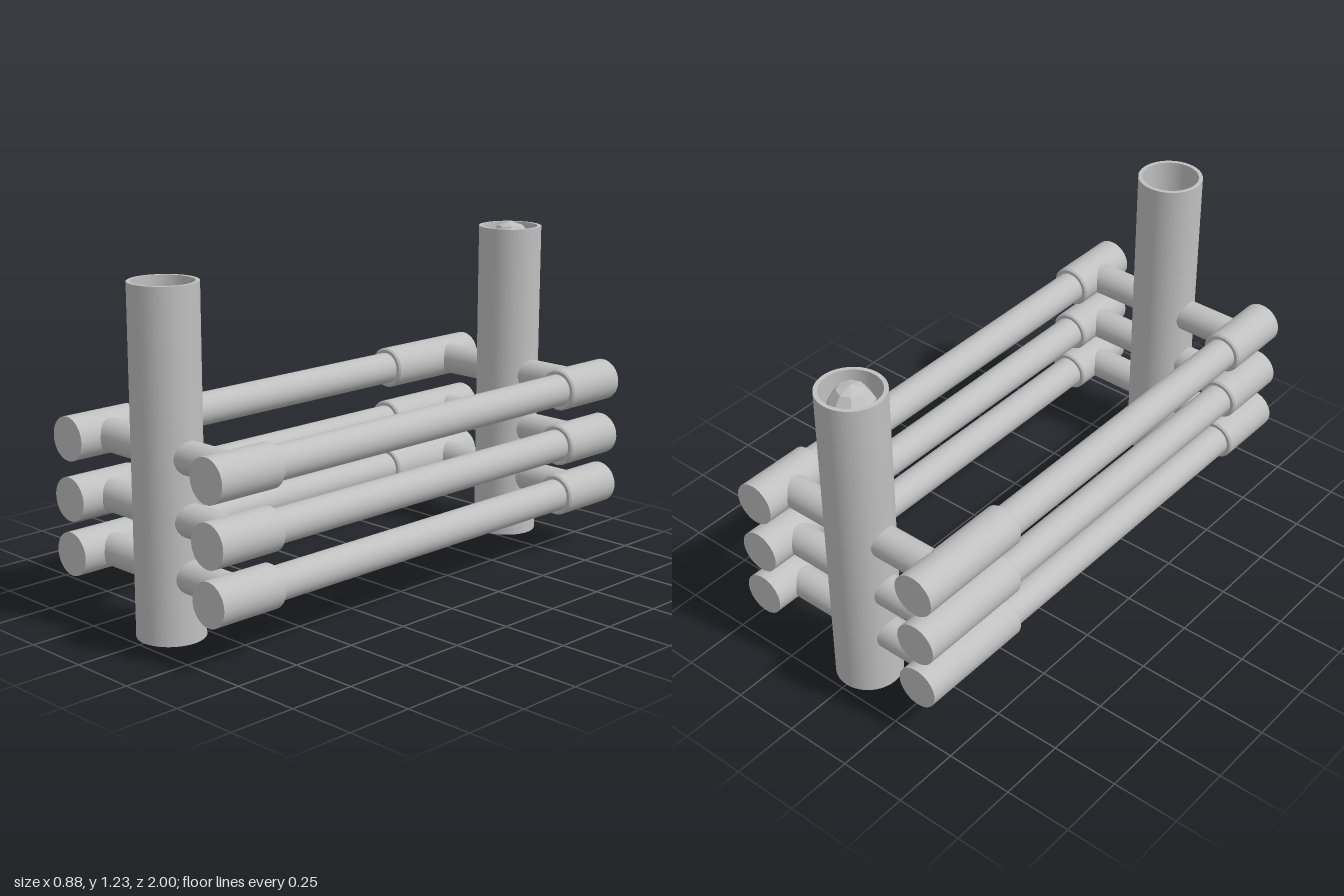
import * as THREE from 'three';
import { mergeGeometries } from 'three/addons/utils/BufferGeometryUtils.js';

const SEGMENTS = 40;
const POST_Z = 0.86;
const RAIL_X = 0.36;
const RAIL_HEIGHTS = [0.233, 0.429, 0.643];

// Revolve each straight run of a profile separately, so its corners stay sharp
function turned(profile) {
  const runs = [];
  for (let i = 0; i + 1 < profile.length; i++) {
    const pair = [profile[i], profile[i + 1]].map(([r, y]) => new THREE.Vector2(r, y));
    runs.push(new THREE.LatheGeometry(pair, SEGMENTS));
  }
  return mergeGeometries(runs);
}

export function createModel() {
  const model = new THREE.Group();
  model.name = 'pipeRack';
  const grey = new THREE.MeshStandardMaterial({ color: 0xc0c0c0 });
  grey.name = 'grey';

  function add(parent, name, geometry, x, y, z) {
    const mesh = new THREE.Mesh(geometry, grey);
    mesh.name = name;
    mesh.position.set(x, y, z);
    parent.add(mesh);
    return mesh;
  }

  // Upright posts, bored out at the top
  const postGeometry = turned([
    [0, 0], [0.12, 0], [0.12, 1.215], [0.105, 1.215], [0.105, 0.98], [0, 0.98],
  ]);
  add(model, 'frontPost', postGeometry, 0, 0, POST_Z);
  add(model, 'backPost', postGeometry, 0, 0, -POST_Z);

  // Faceted ball resting in the back post
  const ball = new THREE.SphereGeometry(0.083, 8, 5).toNonIndexed();
  ball.computeVertexNormals();
  add(model, 'facetedBall', ball, 0, 1.149, -POST_Z);

  // Sleeve along y from its outer end, chamfered at the inner end
  const sleeve = (length) => turned([
    [0, 0], [0.078, 0], [0.078, length - 0.007], [0.072, length], [0, length],
  ]);
  const shortSleeve = sleeve(0.272);
  const longSleeve = sleeve(0.455);
  const railGeometry = new THREE.CylinderGeometry(0.06, 0.06, 1.6, SEGMENTS);
  const crossbarGeometry = new THREE.CylinderGeometry(0.059, 0.059, RAIL_X * 2, SEGMENTS);

  RAIL_HEIGHTS.forEach((y, i) => {
    const tier = new THREE.Group();
    tier.name = `railTier${i + 1}`;
    tier.position.y = y;
    model.add(tier);

    // Long rails with a sleeve at each end; the right back sleeve is longer
    for (const side of [-1, 1]) {
      const label = side > 0 ? 'left' : 'right';
      const x = side * RAIL_X;
      add(tier, `${label}Rail`, railGeometry, x, 0, 0).rotation.x = Math.PI / 2;
      add(tier, `${label}FrontSleeve`, shortSleeve, x, 0, 1).rotation.x = -Math.PI / 2;
      const backSleeve = side > 0 ? shortSleeve : longSleeve;
      add(tier, `${label}BackSleeve`, backSleeve, x, 0, -1).rotation.x = Math.PI / 2;
    }

    // Crossbars through the posts
    for (const end of [-1, 1]) {
      const name = end > 0 ? 'frontCrossbar' : 'backCrossbar';
      add(tier, name, crossbarGeometry, 0, 0, end * POST_Z).rotation.z = Math.PI / 2;
    }
  });

  return model;
}
